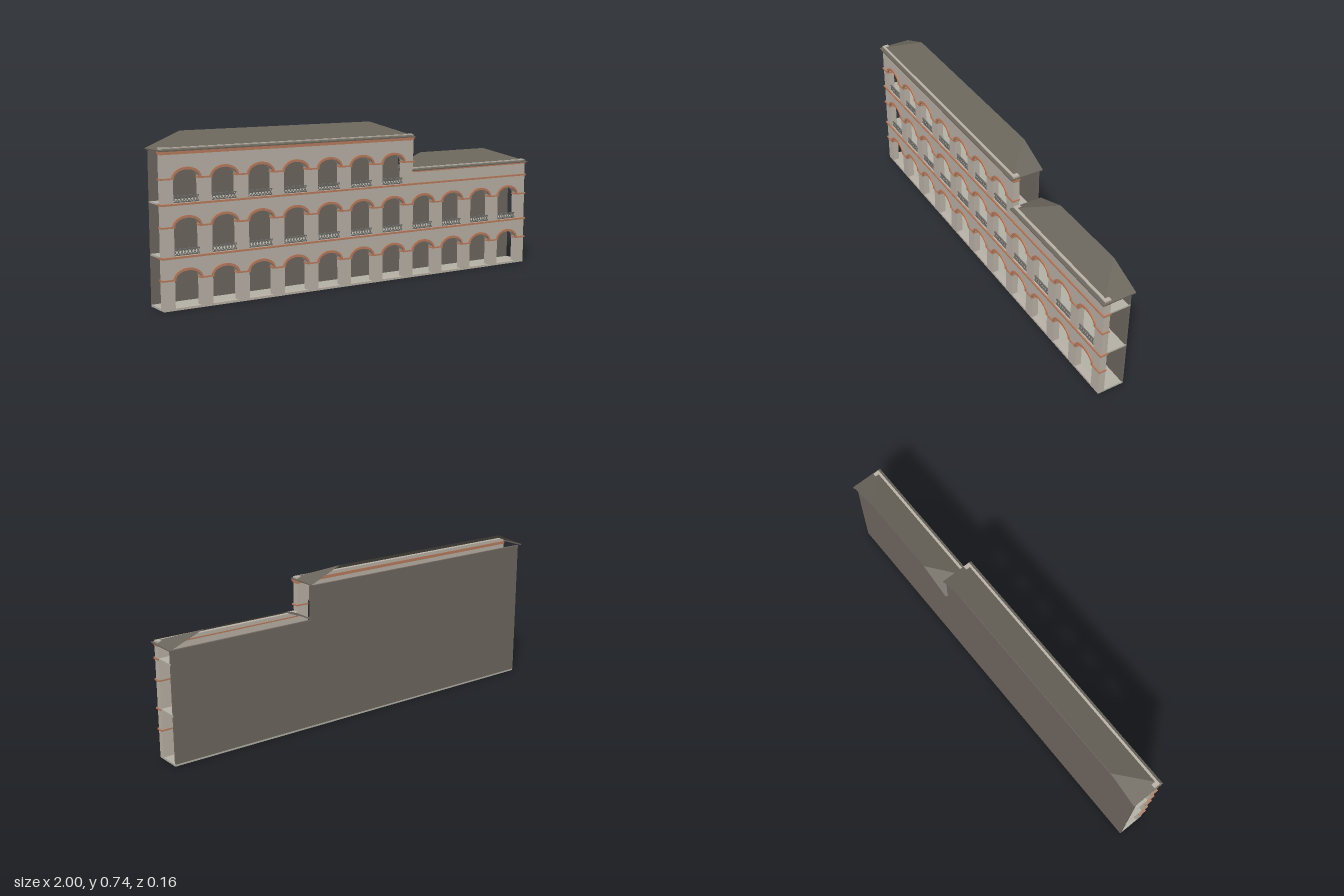
import * as THREE from 'three';
import { mergeGeometries } from 'three/addons/utils/BufferGeometryUtils.js';

const mat = (name, color, side = THREE.FrontSide) => {
  const m = new THREE.MeshStandardMaterial({ color, side });
  m.name = name;
  return m;
};

// Main dimensions
const LEFT = -0.995, STEP = 0.29, RIGHT = 0.993;
const WALL_BACK = 0.037, WALL_FRONT = 0.067, TRIM_FRONT = 0.073;
const HALF = 0.06, RISE = 0.037, TRIM = 0.01;
const storeys = [
  { base: 0.01, spring: 0.131, count: 11, end: RIGHT },
  { base: 0.229, spring: 0.353, count: 11, end: RIGHT },
  { base: 0.452, spring: 0.555, count: 7, end: STEP },
];
const archX = (i) => -0.882 + 0.176 * i;

// Box geometry given by its minimum and maximum corners
function span(x0, x1, y0, y1, z0, z1) {
  return new THREE.BoxGeometry(x1 - x0, y1 - y0, z1 - z0)
    .translate((x0 + x1) / 2, (y0 + y1) / 2, (z0 + z1) / 2);
}

// Stepped outline: tall wing on one side, low wing on the other
function steppedShape(x0, xStep, x1, y0, yTall, yLow) {
  return new THREE.Shape([[x0, y0], [x1, y0], [x1, yLow], [xStep, yLow], [xStep, yTall], [x0, yTall]]
    .map(([x, y]) => new THREE.Vector2(x, y)));
}

function extrude(shape, z0, z1) {
  return new THREE.ExtrudeGeometry(shape, { depth: z1 - z0, bevelEnabled: false, curveSegments: 20 })
    .translate(0, 0, z0);
}

// Half hipped roof: open at the back, ridge along the rear edge
function roofGeometry(x0, x1, r0, r1, eave, ridge) {
  const f = 0.08, b = -0.078;
  const A = [x0, eave, b], B = [x0, eave, f], C = [x1, eave, f], D = [x1, eave, b];
  const R0 = [r0, ridge, b], R1 = [r1, ridge, b];
  const tris = [B, C, R1, B, R1, R0, A, B, R0, C, D, R1];
  const g = new THREE.BufferGeometry();
  g.setAttribute('position', new THREE.Float32BufferAttribute(tris.flat(), 3));
  g.computeVertexNormals();
  return g;
}

// Crossed lattice railing for one opening, standing on y = 0
function railingGeometry() {
  const h = 0.031, n = 8, w = (2 * HALF) / n, parts = [];
  for (const y of [0.003, h - 0.003]) parts.push(span(-HALF, HALF, y - 0.002, y + 0.002, -0.003, 0.003));
  for (let i = 0; i < n; i++) {
    for (const s of [-1, 1]) {
      parts.push(new THREE.BoxGeometry(0.0025, Math.hypot(w, h - 0.006), 0.003)
        .rotateZ(s * Math.atan2(w, h - 0.006))
        .translate(-HALF + (i + 0.5) * w, h / 2, 0));
    }
  }
  return mergeGeometries(parts);
}

export function createModel() {
  const model = new THREE.Group();
  model.name = 'arcadeBuilding';
  const wallMat = mat('pale plaster', 0xb9b1a6);
  const floorMat = mat('floor stone', 0xb3b0a5);
  const trimMat = mat('terracotta', 0xb97c5d);
  const roofMat = mat('roof brown', 0x6a655b, THREE.DoubleSide);
  const backMat = mat('rear wall brown', 0x6e6660);
  const railMat = mat('railing grey', 0x6c6c68);
  const add = (name, geometry, material, parent = model) => {
    const m = new THREE.Mesh(geometry, material);
    m.name = name;
    parent.add(m);
    return m;
  };

  // Front wall pierced by the arched openings
  const wall = steppedShape(LEFT, STEP, RIGHT, 0, 0.684, 0.525);
  for (const { base, spring, count } of storeys) {
    for (let i = 0; i < count; i++) {
      const x = archX(i), hole = new THREE.Path();
      hole.moveTo(x - HALF, base);
      hole.lineTo(x + HALF, base);
      hole.lineTo(x + HALF, spring);
      hole.absellipse(x, spring, HALF, RISE, 0, Math.PI, false);
      hole.lineTo(x - HALF, base);
      wall.holes.push(hole);
    }
  }
  add('frontWall', extrude(wall, WALL_BACK, WALL_FRONT), wallMat);

  // Plain rear wall
  add('rearWall', extrude(steppedShape(LEFT, STEP, RIGHT - 0.002, 0.01, 0.665, 0.51), -0.063, -0.053), backMat);

  // Floors
  add('groundFloor', span(LEFT, RIGHT, 0, 0.009, -0.06, WALL_BACK), floorMat);
  add('secondFloor', span(LEFT, RIGHT, 0.221, 0.229, -0.061, WALL_BACK), floorMat);
  add('thirdFloor', span(LEFT, RIGHT, 0.445, 0.452, -0.061, WALL_BACK), floorMat);

  // Arch hoods, spring bands and railings
  const hood = new THREE.Shape();
  hood.moveTo(HALF + TRIM - 0.002, 0);
  hood.absellipse(0, 0, HALF + TRIM - 0.002, RISE + TRIM, 0, Math.PI, false);
  hood.lineTo(-HALF + 0.002, 0);
  hood.absellipse(0, 0, HALF - 0.002, RISE - 0.001, Math.PI, 0, true);
  const hoodGeo = extrude(hood, WALL_FRONT - 0.002, TRIM_FRONT);
  const railGeo = railingGeometry();
  storeys.forEach(({ base, spring, count, end }, level) => {
    const trims = new THREE.Group();
    trims.name = 'archTrim' + (level + 1);
    model.add(trims);
    for (let i = 0; i <= count; i++) {
      const x0 = i === 0 ? -1 : archX(i - 1) + HALF - 0.003;
      const x1 = i === count ? end + 0.005 : archX(i) - HALF + 0.003;
      add('springBand', span(x0, x1, spring - 0.004, spring + 0.003, WALL_BACK - 0.001, TRIM_FRONT), trimMat, trims);
      if (i === count) continue;
      add('archHood', hoodGeo, trimMat, trims).position.set(archX(i), spring, 0);
      if (level > 0) add('railing', railGeo, railMat).position.set(archX(i), base, 0.058);
    }
  });

  // Storey bands and cornices
  add('lowerStoreyBand', span(-1, 0.998, 0.22, 0.2285, WALL_BACK - 0.002, TRIM_FRONT), trimMat);
  add('upperStoreyBand', span(-1, 0.998, 0.443, 0.4515, WALL_BACK - 0.002, TRIM_FRONT), trimMat);
  add('lowCornice', span(STEP, 0.996, 0.503, 0.509, WALL_BACK - 0.001, 0.069), trimMat);
  add('tallCorniceLower', span(-0.997, 0.293, 0.655, 0.664, WALL_BACK - 0.001, 0.069), trimMat);
  add('tallCorniceUpper', span(-1, 0.295, 0.662, 0.669, WALL_BACK - 0.002, TRIM_FRONT), trimMat);

  // Roofs with a thin fascia around the eaves
  const roofs = [
    ['tallRoof', -1, 0.293, -0.84, 0.138, 0.674, 0.74],
    ['lowRoof', 0.283, 1, 0.443, 0.84, 0.515, 0.578],
  ];
  for (const [name, x0, x1, r0, r1, eave, ridge] of roofs) {
    const roof = new THREE.Group();
    roof.name = name;
    model.add(roof);
    add('slopes', roofGeometry(x0, x1, r0, r1, eave, ridge), roofMat, roof);
    const y0 = eave - 0.005, t = 0.004;
    add('frontFascia', span(x0, x1, y0, eave, 0.08 - t, 0.08), roofMat, roof);
    add('rightFascia', span(x0, x0 + t, y0, eave, -0.078, 0.08 - t), roofMat, roof);
    add('leftFascia', span(x1 - t, x1, y0, eave, -0.078, 0.08 - t), roofMat, roof);
  }
  return model;
}
